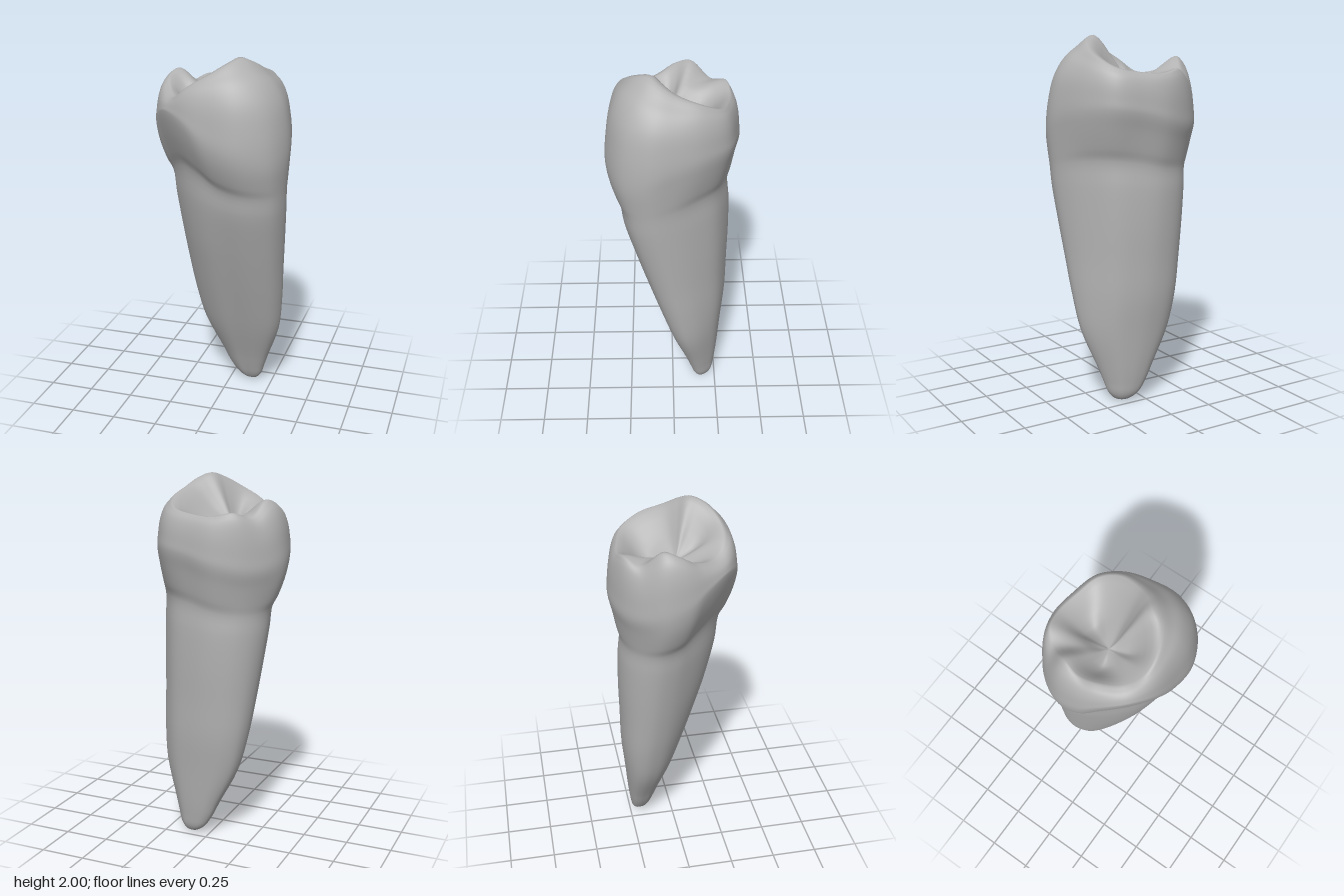
import * as THREE from 'three';

const COLS = 96; // samples around the tooth
const STEPS = 4; // samples between neighbouring rings
const { lerp, mapLinear } = THREE.MathUtils;

// Widest outline of the crown, [x, z], running from +x towards +z
const OUTLINE = [
  [0.375, 0], [0.388, 0.14], [0.325, 0.27], [0.17, 0.348], [0, 0.345], [-0.14, 0.31],
  [-0.25, 0.235], [-0.335, 0.12], [-0.38, 0.02], [-0.385, -0.1], [-0.33, -0.21],
  [-0.23, -0.3], [-0.08, -0.353], [0.07, -0.335], [0.22, -0.285], [0.32, -0.16],
];

// Crest of the biting surface, [x, y, z]: tall cusp, low ridges, small cusp
const CREST = [
  [0.2, 1.935, -0.01], [0.165, 1.975, 0.06], [0.12, 2, 0.11], [0.075, 1.98, 0.175],
  [-0.02, 1.92, 0.235], [-0.12, 1.86, 0.24], [-0.2, 1.79, 0.17], [-0.27, 1.81, 0.06],
  [-0.3, 1.86, -0.02], [-0.28, 1.885, -0.1], [-0.235, 1.805, -0.2], [-0.17, 1.83, -0.275],
  [-0.07, 1.81, -0.295], [0.05, 1.815, -0.275], [0.17, 1.84, -0.235], [0.22, 1.89, -0.135],
];

// Heights halfway from the crest into the central pit
const FOSSA = [1.82, 1.85, 1.87, 1.84, 1.79, 1.8, 1.75, 1.72, 1.76, 1.81, 1.8, 1.78, 1.73, 1.71, 1.75, 1.79];
const PIT = new THREE.Vector3(-0.07, 1.735, 0);

// Root and neck rings: [y, xMin, xMax, zMin, zMax]
const ROOT = [
  [0.01, 0.075, 0.155, -0.212, -0.15],
  [0.045, 0.026, 0.186, -0.237, -0.125],
  [0.11, -0.018, 0.208, -0.25, -0.1],
  [0.2, -0.062, 0.238, -0.262, -0.068],
  [0.4, -0.163, 0.307, -0.282, 0.01],
  [0.6, -0.215, 0.333, -0.302, 0.08],
  [0.8, -0.247, 0.346, -0.307, 0.147],
  [1, -0.275, 0.36, -0.312, 0.21],
  [1.2, -0.3, 0.372, -0.309, 0.263],
  [1.33, -0.313, 0.376, -0.299, 0.28],
];
const NECK = [
  [1.395, -0.341, 0.38, -0.314, 0.306],
  [1.5, -0.373, 0.387, -0.334, 0.337],
];
const BELT = 1.59; // height of the widest outline

// Neck and belt dip on the two broad sides and rise between them, most at -x +z
function wavy(y, x, z) {
  const strength = y < 1.355 ? Math.max(0, 1 - (1.355 - y) / 0.25) : 1 + (y - 1.355) * 2;
  const c = Math.cos(2 * (Math.atan2(z, x) - Math.PI / 4));
  const amount = c > 0 ? 0.045 : z > x ? 0.09 : 0.025;
  return y - amount * strength * c;
}

// Fits the outline into a box: flattened along one diagonal, with a shallow
// flute on one side and fuller or slimmer corners
function boxRing([y, x0, x1, z0, z1], stretch, flute, fullness) {
  const pts = OUTLINE.map(([x, z], i) => {
    const corner = (i >= 5 && i <= 7) || i === 10 || i === 11;
    const f = i >= 14 ? flute : corner ? 1 + fullness : 1;
    return [(x + stretch * z) * f, (z + stretch * x) * f];
  });
  const xs = pts.map(p => p[0]), zs = pts.map(p => p[1]);
  const fit = (v, list, lo, hi) => mapLinear(v, Math.min(...list), Math.max(...list), lo, hi);
  return pts.map(([x, z]) =>
    new THREE.Vector3(fit(x, xs, x0, x1), wavy(y, x, z), fit(z, zs, z0, z1)));
}

function buildRings() {
  const same = p => OUTLINE.map(() => p.clone());
  const crest = CREST.map(p => new THREE.Vector3(...p));
  const rings = [same(new THREE.Vector3(0.115, 0, -0.18))];
  ROOT.forEach(r => rings.push(boxRing(r, 0.08, 0.96, 0.07 * (1 - r[0] / 1.33))));
  NECK.forEach((r, i) => rings.push(boxRing(r, i ? 0.02 : 0.05, i ? 1 : 0.98, -0.015)));
  // Crown wall: [inward fraction, upward fraction] from the outline to the crest,
  // less full below the tall cusp
  for (const [f, h] of [[0, 0], [0.05, 0.26], [0.18, 0.58], [0.4, 0.81], [0.65, 0.93], [1, 1]]) {
    rings.push(crest.map((c, i) => {
      const [x, z] = OUTLINE[i];
      const slope = Math.max(0, Math.cos(Math.atan2(z, x) - 0.45));
      const up = h - 0.25 * slope * f * (1 - f);
      return new THREE.Vector3(lerp(x, c.x, f), lerp(wavy(BELT, x, z), c.y, up), lerp(z, c.z, f));
    }));
  }
  // Biting surface, flattening out towards the pit
  const floor = (f, height) => crest.map((c, i) => {
    const p = c.clone().lerp(PIT, f);
    p.y = height(i);
    return p;
  });
  rings.push(floor(0.5, i => FOSSA[i]));
  rings.push(floor(0.82, i => lerp(FOSSA[i], PIT.y, 0.75)));
  rings.push(same(PIT));
  return rings;
}

export function createModel() {
  const group = new THREE.Group();
  group.name = 'tooth';
  const grey = new THREE.MeshStandardMaterial({ color: 0xb0b0b0 });
  grey.name = 'plain grey';

  // Smooth each ring around, then each column from root tip to pit
  const rings = buildRings();
  const loops = rings.map(r => new THREE.CatmullRomCurve3(r, true));
  const rows = (rings.length - 1) * STEPS;
  const position = new Float32Array((rows + 1) * COLS * 3);
  for (let c = 0; c < COLS; c++) {
    const column = new THREE.CatmullRomCurve3(loops.map(l => l.getPoint(c / COLS)));
    for (let r = 0; r <= rows; r++) {
      column.getPoint(r / rows).toArray(position, (r * COLS + c) * 3);
    }
  }

  // Faces between two rows; the end rows close to a single point
  const id = (r, c) => r * COLS + (r === 0 || r === rows ? 0 : c % COLS);
  const faces = (from, to) => {
    const index = [];
    for (let r = from; r < to; r++) {
      for (let c = 0; c < COLS; c++) {
        const a = id(r, c), b = id(r, c + 1), d = id(r + 1, c), e = id(r + 1, c + 1);
        if (r > 0) index.push(a, d, b);
        if (r < rows - 1) index.push(b, d, e);
      }
    }
    return index;
  };

  // Normals are found on the whole surface so the neck joins smoothly
  const whole = new THREE.BufferGeometry();
  whole.setAttribute('position', new THREE.BufferAttribute(position, 3));
  whole.setIndex(faces(0, rows));
  whole.computeVertexNormals();

  const neckRow = ROOT.length * STEPS;
  for (const [name, from, to] of [['root', 0, neckRow], ['crown', neckRow, rows]]) {
    const part = new THREE.BufferGeometry();
    part.setAttribute('position', whole.getAttribute('position'));
    part.setAttribute('normal', whole.getAttribute('normal'));
    part.setIndex(faces(from, to));
    const mesh = new THREE.Mesh(part, grey);
    mesh.name = name;
    group.add(mesh);
  }
  return group;
}
